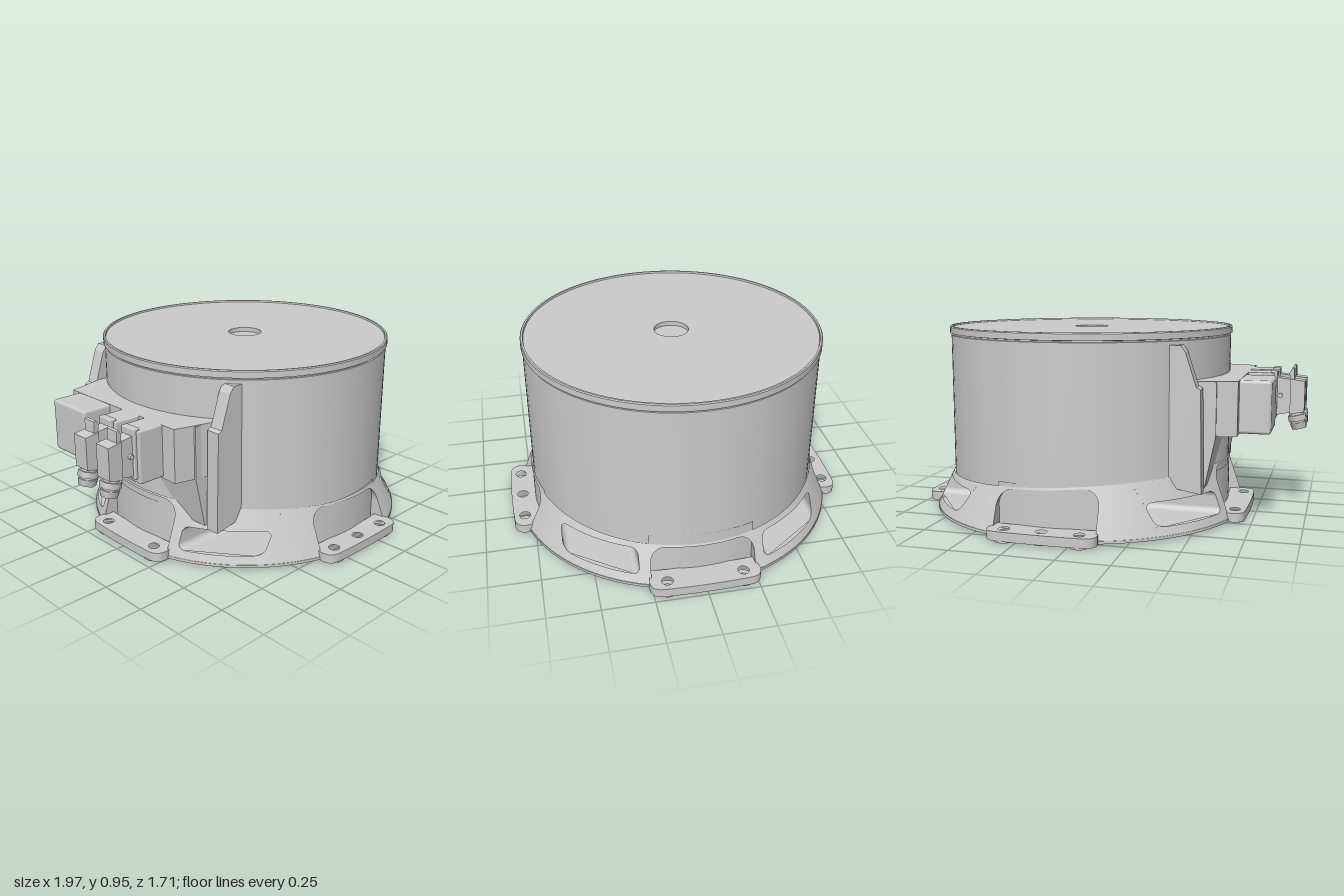
import * as THREE from 'three';
import { toCreasedNormals } from 'three/addons/utils/BufferGeometryUtils.js';
import { RoundedBoxGeometry } from 'three/addons/geometries/RoundedBoxGeometry.js';

const grey = new THREE.MeshStandardMaterial({ color: 0xcccccc });
const thin = new THREE.MeshStandardMaterial({ color: 0xcccccc, side: THREE.DoubleSide });
const AXIS = 0.135, R0 = 0.82, R1 = 0.733, Y0 = 0.02, lerp = THREE.MathUtils.lerp;
const POCKET = 0.25, SLOT = [0.3, 0.63, 0.065, 0.175];

function add(parent, name, geo, mat = grey) {
  const mesh = new THREE.Mesh(geo, mat);
  mesh.name = name;
  parent.add(mesh);
  return mesh;
}

// grid surface from a rule f(i, j) -> [x, y, z]
function surface(parent, name, nu, nv, f) {
  const pos = [], idx = [];
  for (let i = 0; i <= nu; i++) for (let j = 0; j <= nv; j++) pos.push(...f(i / nu, j / nv));
  for (let i = 0; i < nu; i++) for (let j = 0; j < nv; j++) {
    const a = i * (nv + 1) + j, b = a + nv + 1;
    idx.push(a, b, a + 1, b, b + 1, a + 1);
  }
  const geo = new THREE.BufferGeometry();
  geo.setAttribute('position', new THREE.Float32BufferAttribute(pos, 3));
  geo.setIndex(idx);
  geo.computeVertexNormals();
  return add(parent, name, geo, thin);
}

const polygon = pts => new THREE.Shape(pts.map(p => new THREE.Vector2(...p)));
const extrude = (shape, depth, bevel = 0) => new THREE.ExtrudeGeometry(shape, {
  depth, curveSegments: 20, bevelEnabled: bevel > 0, bevelSize: bevel, bevelThickness: bevel, bevelSegments: 2
});
// side profile in x/y, centred on a given z
const slab = (pts, width, z = 0) => extrude(polygon(pts), width).translate(0, 0, z - width / 2);
// plan outline, extruded upward from y
const plan = (shape, y, h) => extrude(shape, h).rotateX(-Math.PI / 2).translate(0, y, 0);
const box = (x0, x1, y0, y1, z0, z1, r = 0.006) =>
  new RoundedBoxGeometry(x1 - x0, y1 - y0, z1 - z0, 2, r).translate((x0 + x1) / 2, (y0 + y1) / 2, (z0 + z1) / 2);
function circleHole(shape, x, y, r) {
  shape.holes.push(new THREE.Path().absarc(x, y, r, 0, Math.PI * 2, true));
}

// skirt: cone with a tilted upper edge, fork slots and foot pockets
const topY = x => 0.243 - 0.065 * x;
function skirtPoint(kind, w, r, sx, sz) {
  if (kind === 'side') return [sx * Math.sqrt(r * r - w * w), sz * w];
  if (kind === 'front') return [sx * w, sz * Math.sqrt(r * r - w * w)];
  const x = lerp(POCKET, Math.sqrt(r * r - SLOT[1] ** 2), w);
  return [sx * x, sz * Math.sqrt(r * r - x * x)];
}
const columnTop = (kind, w, sx, sz) => topY(skirtPoint(kind, w, R1, sx, sz)[0]);
function skirtAt(kind, w, y, sx, sz) {
  const k = (y - Y0) / (columnTop(kind, w, sx, sz) - Y0);
  const [x, z] = skirtPoint(kind, w, lerp(R0, R1, k), sx, sz);
  return [x, y, z];
}
function pocketArch(kind, w, sx, sz) {
  const rad = 0.08, d = Math.max(0, w - POCKET + rad);
  return columnTop(kind, w, sx, sz) - 0.01 - rad + Math.sqrt(Math.max(0, rad * rad - d * d));
}
function slotInset(w) {
  const rad = 0.03, d = Math.max(0, SLOT[0] + rad - w, w - SLOT[1] + rad);
  return rad - Math.sqrt(Math.max(0, rad * rad - d * d));
}

function buildSkirt(parent) {
  const skirt = new THREE.Group();
  skirt.name = 'skirt';
  parent.add(skirt);
  for (const sx of [1, -1]) for (const sz of [1, -1]) {
    const strip = (kind, a, b, lo, hi) => surface(skirt, 'skirtPanel', 24, 4, (u, v) => {
      const w = lerp(a, b, 0.5 - 0.5 * Math.cos(Math.PI * u));
      return skirtAt(kind, w, lerp(lo(w), hi(w), v), sx, sz);
    });
    const floor = () => Y0;
    const top = kind => w => columnTop(kind, w, sx, sz);
    strip('side', POCKET, SLOT[0], floor, top('side'));
    strip('corner', 0, 1, floor, top('corner'));
    strip('side', SLOT[0], SLOT[1], floor, w => SLOT[2] + slotInset(w));
    strip('side', SLOT[0], SLOT[1], w => SLOT[3] - slotInset(w), top('side'));
    for (const kind of ['side', 'front']) {
      const arch = w => pocketArch(kind, w, sx, sz);
      strip(kind, 0, POCKET, arch, top(kind));
      // pocket ceiling and cheek, running in to the barrel
      const inward = (w, y, v) => {
        const p = skirtAt(kind, w, y, sx, sz), q = skirtPoint(kind, w, R1, sx, sz);
        return [lerp(p[0], q[0], v), y, lerp(p[2], q[1], v)];
      };
      surface(skirt, 'pocketCeiling', 24, 1, (u, v) => {
        const w = POCKET * Math.sin(u * Math.PI / 2);
        return inward(w, arch(w), v);
      });
      surface(skirt, 'pocketCheek', 1, 1, (u, v) => inward(POCKET, lerp(Y0, arch(POCKET), u), v));
    }
  }
  // fork tunnels through the whole base
  const [a, b, lo, hi] = SLOT, r = 0.03;
  const outline = new THREE.Path();
  outline.absarc(b - r, hi - r, r, 0, Math.PI / 2).absarc(a + r, hi - r, r, Math.PI / 2, Math.PI);
  outline.absarc(a + r, lo + r, r, Math.PI, Math.PI * 1.5).absarc(b - r, lo + r, r, Math.PI * 1.5, Math.PI * 2);
  outline.closePath();
  const pts = outline.getPoints(6);
  for (const sz of [1, -1]) {
    surface(skirt, 'forkTunnel', pts.length - 1, 1, (u, v) => {
      const p = pts[Math.round(u * (pts.length - 1))];
      return skirtAt('side', p.x, p.y, v ? 1 : -1, sz);
    });
  }
}

function buildFeet(parent) {
  for (let i = 0; i < 4; i++) {
    const foot = new THREE.Group();
    foot.name = 'foot';
    foot.rotation.y = i * Math.PI / 2;
    parent.add(foot);
    const holes = i % 2 ? [-0.182, 0.182] : [-0.182, 0, 0.182];
    const pad = new THREE.Shape();
    pad.moveTo(-0.25, 0.715).lineTo(-0.265, 0.79).quadraticCurveTo(-0.265, 0.845, -0.21, 0.85);
    pad.quadraticCurveTo(0, 0.862, 0.21, 0.85).quadraticCurveTo(0.265, 0.845, 0.265, 0.79).lineTo(0.25, 0.715);
    pad.quadraticCurveTo(0, 0.735, -0.25, 0.715);
    holes.forEach(x => circleHole(pad, x, 0.797, 0.027));
    add(foot, 'footPad', plan(pad, 0.01, 0.045));
    for (const x of holes) {
      const boss = new THREE.Shape().absarc(x, 0.797, x ? 0.05 : 0.04, 0, Math.PI * 2);
      circleHole(boss, x, 0.797, 0.027);
      add(foot, 'footBoss', plan(boss, 0, 0.012));
    }
    const half = Math.asin(POCKET / R1);
    add(foot, 'pocketBack', new THREE.CylinderGeometry(R1, R1, 0.23, 24, 1, true, Math.PI - half, 2 * half)
      .translate(0, 0.135, 0));
  }
  // floor plate, notched where the feet sit
  const rim = [];
  for (let i = 0; i < 360; i++) {
    const t = i * Math.PI / 180, c = Math.cos(t), s = Math.sin(t);
    const r = Math.min(Math.abs(c), Math.abs(s)) * R0 < POCKET ? 0.74 : R0;
    rim.push([r * c, r * s]);
  }
  add(parent, 'floorPlate', plan(polygon(rim), 0.012, 0.014));
}

function buildConnectors(parent) {
  const box1 = new THREE.Group();
  box1.name = 'connectorBox';
  parent.add(box1);
  add(box1, 'housing', plan(polygon([[-0.69, -0.385], [-0.45, -0.45], [-0.45, 0.45], [-0.69, 0.385]]), 0.46, 0.26));
  add(box1, 'backPanel', slab([[-0.545, 0.21], [-0.4, 0.21], [-0.4, 0.715], [-0.595, 0.715], [-0.595, 0.46]], 0.84));
  for (const s of [-1, 1]) {
    add(box1, 'sideFin', slab([[-0.545, 0.2], [-0.43, 0.22], [-0.39, 0.28], [-0.39, 0.89], [-0.44, 0.89],
      [-0.463, 0.86], [-0.515, 0.7], [-0.535, 0.69]], 0.07, s * 0.47));
  }
  add(box1, 'blankSocket', box(-0.84, -0.68, 0.465, 0.72, -0.336, -0.08, 0.015));
  add(box1, 'smallBlock', box(-0.72, -0.68, 0.5, 0.66, -0.07, 0.005));
  for (const z of [0.075, 0.24]) {
    const plug = new THREE.Group();
    plug.name = 'plug';
    plug.position.z = z;
    parent.add(plug);
    add(plug, 'socket', box(-0.82, -0.68, 0.47, 0.72, -0.064, 0.064));
    add(plug, 'latchBar', box(-0.835, -0.8, 0.49, 0.73, -0.045, 0.045));
    add(plug, 'hoodNeck', slab([[-0.92, 0.52], [-0.81, 0.5], [-0.81, 0.7], [-0.92, 0.685]], 0.066));
    add(plug, 'hood', slab([[-0.972, 0.525], [-0.9, 0.51], [-0.9, 0.69], [-0.972, 0.68]], 0.088));
    add(plug, 'lever', slab([[-0.9, 0.67], [-0.893, 0.72], [-0.907, 0.745], [-0.917, 0.74], [-0.92, 0.67]], 0.07));
    for (const s of [-1, 1]) {
      add(plug, 'pivot', new THREE.CylinderGeometry(0.012, 0.012, 0.02, 16).rotateX(Math.PI / 2)
        .translate(-0.85, 0.605, s * 0.037));
    }
    const gland = new THREE.Group();
    gland.name = 'cableGland';
    gland.position.set(-0.937, 0.49, 0);
    gland.rotation.z = -0.22;
    plug.add(gland);
    add(gland, 'glandStem', new THREE.CylinderGeometry(0.036, 0.036, 0.1, 24));
    add(gland, 'glandNut', new THREE.CylinderGeometry(0.05, 0.05, 0.03, 6).translate(0, 0.0, 0));
    add(gland, 'glandCap', new THREE.CylinderGeometry(0.046, 0.04, 0.032, 6).translate(0, -0.04, 0));
  }
}

export function createModel() {
  const model = new THREE.Group();
  model.name = 'turntableDrum';
  const drum = new THREE.Group();
  drum.name = 'drum';
  drum.position.x = AXIS;
  model.add(drum);
  // barrel, capped by a raised rim and a shallow centre recess
  const profile = [[0.728, 0.185], [0.728, 0.908], [0.722, 0.91], [0.722, 0.916], [0.735, 0.918], [0.735, 0.948],
    [0.731, 0.953], [0.722, 0.953], [0.72, 0.944], [0.085, 0.944], [0.085, 0.922], [0, 0.922]];
  const lathe = new THREE.LatheGeometry(profile.map(p => new THREE.Vector2(...p)), 96);
  add(drum, 'barrel', toCreasedNormals(lathe, 0.5));
  buildSkirt(drum);
  buildFeet(drum);
  buildConnectors(model);
  return model;
}
